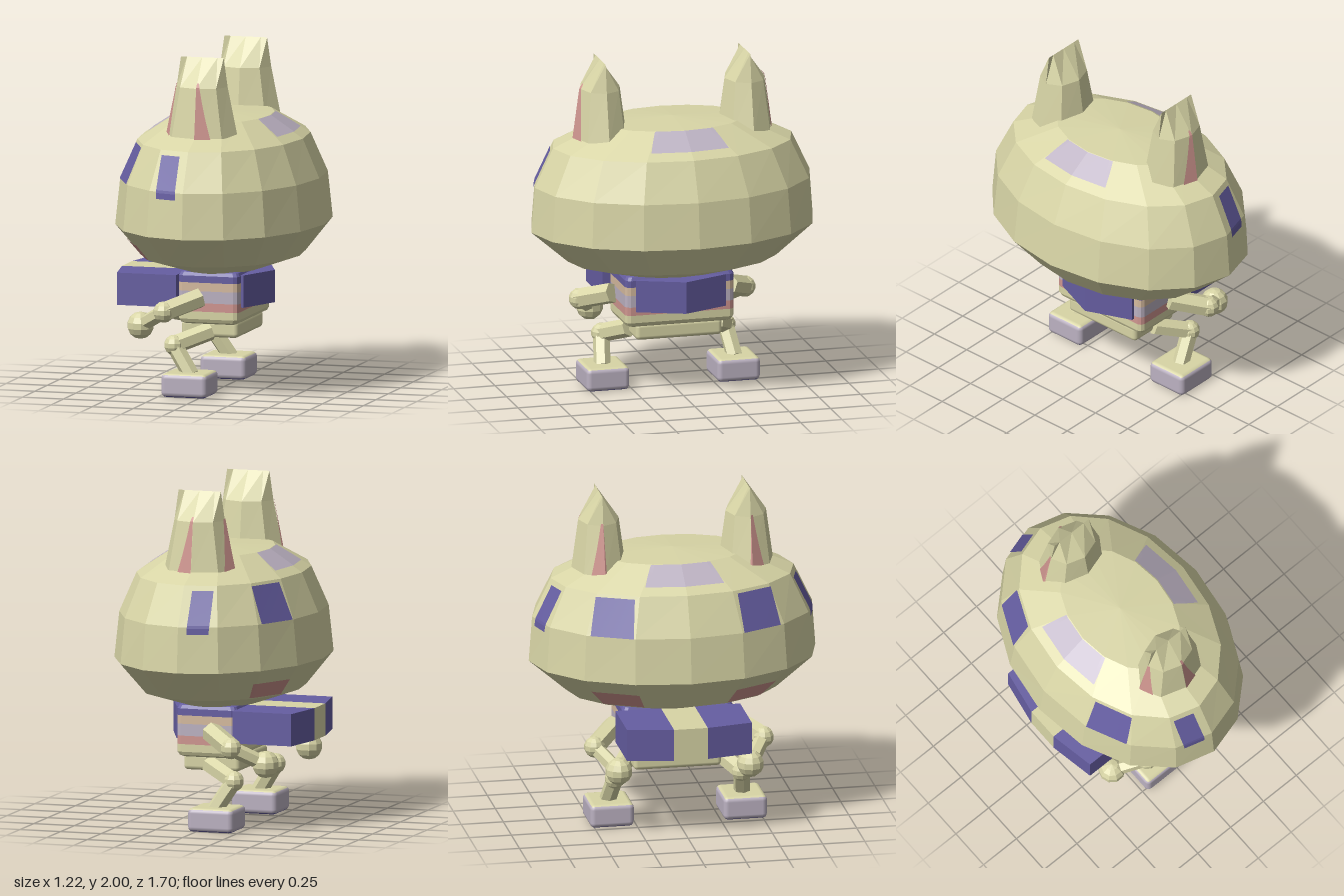
import * as THREE from 'three';
import { RoundedBoxGeometry } from 'three/addons/geometries/RoundedBoxGeometry.js';

const paint = (name, color) => Object.assign(new THREE.MeshStandardMaterial({ color }), { name });
const cream = paint('cream', 0xd8d5a6);
const violet = paint('violet', 0x665ea2);
const lilac = paint('lilac', 0xbcb2c2);
const pink = paint('pink', 0xd09690);
const peach = paint('peach', 0xd6bb9f);

function mesh(parent, name, geometry, material, x = 0, y = 0, z = 0) {
  const m = new THREE.Mesh(geometry, material);
  m.name = name;
  m.position.set(x, y, z);
  parent.add(m);
  return m;
}

// Faceted copy of an indexed geometry
function flat(geometry) {
  const g = geometry.index ? geometry.toNonIndexed() : geometry;
  g.computeVertexNormals();
  return g;
}

// Grid of quads from point(i, j); i runs from +x to +z, j upward
function grid(nu, nv, point) {
  const pos = [];
  for (let j = 0; j < nv; j++) {
    for (let i = 0; i < nu; i++) {
      const a = point(i, j), b = point(i + 1, j), c = point(i, j + 1), d = point(i + 1, j + 1);
      pos.push(...a, ...c, ...b, ...b, ...c, ...d);
    }
  }
  const g = new THREE.BufferGeometry();
  g.setAttribute('position', new THREE.Float32BufferAttribute(pos, 3));
  g.computeVertexNormals();
  return g;
}

const ellipse = (n) => Array.from({ length: n }, (_, i) => {
  const a = (i / n) * Math.PI * 2;
  return [Math.cos(a), Math.sin(a)];
});

// Point on the faceted skin: u counts sides, v counts rings [y, rx, rz]
function skin(rings, outline, u, v) {
  const n = outline.length, i = Math.floor(u), f = u - i;
  const j = Math.min(Math.floor(v), rings.length - 1), g = v - j;
  const p = outline[((i % n) + n) % n], q = outline[(((i + 1) % n) + n) % n];
  const r = rings[j], s = rings[Math.min(j + 1, rings.length - 1)];
  const mix = THREE.MathUtils.lerp;
  return [mix(p[0], q[0], f) * mix(r[1], s[1], g), mix(r[0], s[0], g), mix(p[1], q[1], f) * mix(r[2], s[2], g)];
}

const loft = (rings, outline) =>
  grid(outline.length, rings.length - 1, (i, j) => skin(rings, outline, i, j));

// Thin painted patch following the skin, lifted slightly off it
function patch(rings, outline, [a0, a1, b0, b1, v0, v1], midY, lift) {
  const N = 16;
  return grid(N, N, (i, j) => {
    const t = j / N, s = i / N;
    const u = THREE.MathUtils.lerp(a0 + (a1 - a0) * s, b0 + (b1 - b0) * s, t);
    const [x, y, z] = skin(rings, outline, u, v0 + (v1 - v0) * t);
    return [x * lift, midY + (y - midY) * lift, z * lift];
  });
}

// Mirror a patch in z
const flip = ([a0, a1, b0, b1, v0, v1]) => [-a1, -a0, -b1, -b0, v0, v1];

// Slab with a floor plan of [x, z] points
function slab(plan, y0, y1) {
  const shape = new THREE.Shape(plan.map(([x, z]) => new THREE.Vector2(x, -z)));
  return new THREE.ExtrudeGeometry(shape, { depth: y1 - y0, bevelEnabled: false })
    .rotateX(-Math.PI / 2).translate(0, y0, 0);
}

// Six-sided limb section between two points
function limb(parent, name, from, to, radius) {
  const a = new THREE.Vector3(...from), b = new THREE.Vector3(...to);
  const dir = b.clone().sub(a);
  const m = mesh(parent, name, flat(new THREE.CylinderGeometry(radius, radius, dir.length(), 6)), cream);
  m.position.copy(a).add(b).multiplyScalar(0.5);
  m.quaternion.setFromUnitVectors(new THREE.Vector3(0, 1, 0), dir.normalize());
}

const ball = (parent, name, r, p) => mesh(parent, name, flat(new THREE.SphereGeometry(r, 10, 7)), cream, ...p);

function buildHead() {
  const head = new THREE.Group();
  head.name = 'head';
  const round = ellipse(16);
  const rings = [[0.71, 0.23, 0.33], [0.79, 0.46, 0.63], [0.98, 0.61, 0.85], [1.25, 0.58, 0.83],
    [1.48, 0.48, 0.72], [1.61, 0.28, 0.43], [1.63, 0, 0]];
  mesh(head, 'skull', loft([[0.71, 0, 0], ...rings], round), cream);
  const mark = (name, area, mat) => mesh(head, name, patch(rings, round, area, 1.1, 1.007), mat);
  // Painted markings
  mark('crownMark', [-0.95, 0.95, -1.05, 1.05, 4.28, 4.98], lilac);
  mark('crownMark', [7.05, 8.95, 6.95, 9.05, 4.28, 4.98], lilac);
  const paired = [
    ['endMark', [4.22, 4.77, 4.27, 4.9, 2.84, 3.87], violet],
    ['sideMark', [6.1, 6.97, 6.0, 6.9, 3.0, 3.92], violet],
    ['cheek', [5.9, 7.0, 5.9, 7.0, 1.05, 1.55], pink],
  ];
  for (const [name, area, mat] of paired) {
    mark(name, area, mat);
    mark(name, flip(area), mat);
  }
  // Ears pinched to a ridge
  const eight = ellipse(8);
  const earRings = [[1.54, 0.215, 0.16], [1.83, 0.155, 0.12], [2.0, 0.13, 0]];
  const earMarks = [[1.42, 2.0, 1.9, 2.0, 0, 1.15], [3.35, 4.1, 3.85, 4.0, 0, 1.05]];
  for (const s of [1, -1]) {
    const ear = new THREE.Group();
    ear.name = 'ear';
    ear.position.z = s * 0.437;
    mesh(ear, 'earShell', loft(earRings, eight), cream);
    for (const area of earMarks) {
      mesh(ear, 'earStripe', patch(earRings, eight, s > 0 ? area : flip(area), 1.7, 1.03), pink);
    }
    head.add(ear);
  }
  return head;
}

function buildBody() {
  const body = new THREE.Group();
  body.name = 'body';
  // Rounded-corner cross-section
  const corner = [[1, 0.91], [0.95, 0.97], [0.84, 1]];
  const turned = corner.slice().reverse();
  const plan = [...corner, ...turned.map(([x, z]) => [-x, z]),
    ...corner.map(([x, z]) => [-x, -z]), ...turned.map(([x, z]) => [x, -z])];
  const X = 0.185, Z = 0.328;
  const bands = [
    ['torsoBase', cream, [[0.41, 0, 0], [0.41, X - 0.03, Z - 0.03], [0.42, X - 0.01, Z - 0.01], [0.44, X, Z], [0.485, X, Z]]],
    ['pinkBand', pink, [[0.485, X, Z], [0.535, X, Z]]],
    ['lilacBand', lilac, [[0.535, X, Z], [0.605, X, Z]]],
    ['peachBand', peach, [[0.605, X, Z], [0.655, X, Z]]],
    ['collar', violet, [[0.655, X, Z], [0.695, X, Z], [0.715, X - 0.01, Z - 0.01], [0.725, X - 0.03, Z - 0.03], [0.725, 0, 0]]],
  ];
  for (const [name, mat, rings] of bands) mesh(body, name, loft(rings, plan), mat);
  mesh(body, 'pelvis', new RoundedBoxGeometry(0.345, 0.1, 0.52, 2, 0.025), cream, -0.01, 0.375, 0);
  // Pack with a cream middle strip, and the pointed pad opposite
  for (const s of [1, -1]) {
    mesh(body, 'packSide', slab([[-0.18, 0.1 * s], [-0.59, 0.1 * s], [-0.54, 0.37 * s], [-0.18, 0.37 * s]], 0.51, 0.7), violet);
  }
  mesh(body, 'packStrip', new THREE.BoxGeometry(0.41, 0.19, 0.2), cream, -0.385, 0.605, 0);
  mesh(body, 'pad', slab([[0.17, 0.27], [0.2, 0.27], [0.31, 0], [0.2, -0.27], [0.17, -0.27]], 0.51, 0.7), violet);
  return body;
}

function buildLimbs(s) {
  const limbs = new THREE.Group();
  limbs.name = s > 0 ? 'frontLimbs' : 'backLimbs';
  // Arm
  const shoulder = [-0.04, 0.57, 0.35 * s], elbow = [-0.215, 0.5, 0.5 * s], hand = [-0.39, 0.4, 0.39 * s];
  limb(limbs, 'upperArm', shoulder, elbow, 0.062);
  ball(limbs, 'elbow', 0.063, elbow);
  limb(limbs, 'forearm', elbow, hand, 0.045);
  ball(limbs, 'hand', 0.08, hand);
  // Leg
  const hip = [0.0, 0.365, 0.26 * s], knee = [-0.19, 0.29, 0.375 * s], ankle = [-0.08, 0.12, 0.4 * s];
  limb(limbs, 'thigh', hip, knee, 0.055);
  ball(limbs, 'knee', 0.06, knee);
  limb(limbs, 'shin', knee, ankle, 0.05);
  // Shoe: cream top, lilac sides, violet sole
  mesh(limbs, 'shoe', new RoundedBoxGeometry(0.28, 0.14, 0.26, 2, 0.03),
    [lilac, lilac, cream, violet, lilac, lilac], -0.09, 0.07, 0.395 * s);
  return limbs;
}

export function createModel() {
  const model = new THREE.Group();
  model.name = 'earedFigure';
  model.add(buildHead(), buildBody(), buildLimbs(1), buildLimbs(-1));
  return model;
}
